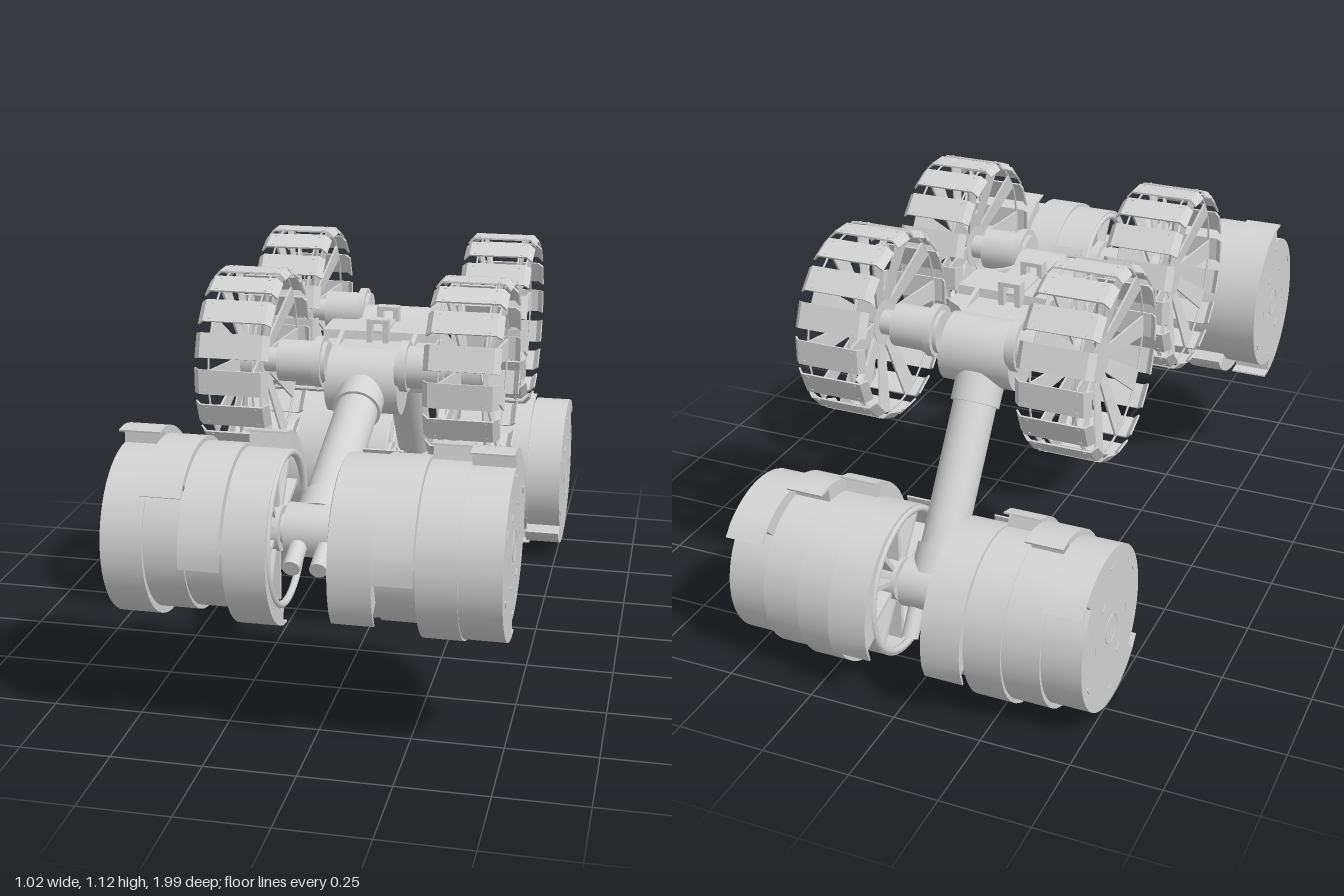
import * as THREE from 'three';
import { toCreasedNormals } from 'three/addons/utils/BufferGeometryUtils.js';

const grey = new THREE.MeshStandardMaterial({ color: 0xd2d2d2 });
grey.name = 'metal grey';

function add(parent, name, geo, x = 0, y = 0, z = 0) {
  const m = new THREE.Mesh(geo, grey);
  m.name = name;
  m.position.set(x, y, z);
  parent.add(m);
  return m;
}
const box = (w, h, d) => new THREE.BoxGeometry(w, h, d);
// cylinder lying along x
const rod = (r, len, n = 32) => new THREE.CylinderGeometry(r, r, len, n).rotateZ(Math.PI / 2);
const toShape = (pts) => new THREE.Shape(pts.map((p) => new THREE.Vector2(p[0], p[1])));
const extrude = (shape, depth) =>
  new THREE.ExtrudeGeometry(shape, { depth, bevelEnabled: false, curveSegments: 24 }).translate(0, 0, -depth / 2);

// round bar between two points of the x = const plane
function bar(parent, name, r, x, y0, z0, y1, z1) {
  const m = add(parent, name, new THREE.CylinderGeometry(r, r, Math.hypot(y1 - y0, z1 - z0), 32), x, (y0 + y1) / 2, (z0 + z1) / 2);
  m.rotation.x = Math.atan2(z1 - z0, y1 - y0);
  return m;
}

// one slice of a digging drum: two spiral scoops, each ending in an overhanging lip
function scoopSlice(phase, dir, width, holeRadius) {
  const pts = [];
  const put = (t, r) => pts.push([-dir * Math.cos(t) * r, Math.sin(t) * r]);
  for (let s = 0; s < 2; s++) {
    const start = phase + s * Math.PI;
    put(start, 0.207);
    put(start, 0.247);
    put(start - 0.16, 0.252);
    put(start - 0.16, 0.257);
    for (let i = 0; i < 30; i++) put(start + (i / 30) * Math.PI, 0.207 + 0.049 * (1 - i / 30) ** 2);
  }
  const shape = toShape(pts);
  if (holeRadius) shape.holes.push(new THREE.Path().absarc(0, 0, holeRadius, 0, Math.PI * 2, true));
  return toCreasedNormals(extrude(shape, width).rotateY(Math.PI / 2), 0.5);
}

// scoop angles from the inner slice to the outer one
const frontLeftPhases = [2.6, 0.05, 1.75, 1.57];
const frontRightPhases = [1.8, 0.05, 0.75, 1.57];
const rearPhases = [2.83, 1.9, 1.48, 0.79];

function drum(side, dir) {
  const g = new THREE.Group();
  g.name = 'diggingDrum';
  const edges = [0.08, 0.19, 0.295, 0.4, 0.51];
  const phases = dir < 0 ? rearPhases : side > 0 ? frontLeftPhases : frontRightPhases;
  phases.forEach((p, i) => {
    const w = edges[i + 1] - edges[i];
    add(g, 'scoopSlice', scoopSlice(p, dir, w, i === 0 ? 0.195 : 0), side * (edges[i] + w / 2));
  });
  // spoked inner face
  add(g, 'innerHub', rod(0.06, 0.1), side * 0.14);
  add(g, 'innerRim', new THREE.TorusGeometry(0.198, 0.01, 8, 40).rotateY(Math.PI / 2), side * 0.082);
  for (let i = 0; i < 10; i++) {
    const a = (i / 10) * Math.PI * 2;
    const rib = add(g, 'innerRib', box(0.07, 0.15, 0.014), side * 0.135, Math.cos(a) * 0.125, Math.sin(a) * 0.125);
    rib.rotation.x = a;
  }
  // end cap details
  add(g, 'capRing', new THREE.TorusGeometry(0.04, 0.002, 6, 24).rotateY(Math.PI / 2), side * 0.51);
  for (let i = 0; i < 12; i++) {
    const a = (i / 12) * Math.PI * 2;
    const r = i % 2 ? 0.11 : 0.185;
    const tab = add(g, 'capTab', box(0.004, 0.005, 0.024), side * 0.51, Math.cos(a) * r, Math.sin(a) * r);
    tab.rotation.x = a;
  }
  return g;
}

// wheel with 16 bent treads and two dished sets of ten spokes
const treadGeo = extrude(toShape([[-0.105, 0.243], [-0.088, 0.261], [0.088, 0.261], [0.105, 0.243],
  [0.102, 0.239], [0.086, 0.256], [-0.086, 0.256], [-0.102, 0.239]]), 0.07);
const spokeGeo = extrude(toShape([[-0.018, 0], [0.018, 0], [0.03, 0.205], [-0.03, 0.205]]), 0.006).rotateY(Math.PI / 2);
function wheel() {
  const g = new THREE.Group();
  g.name = 'wheel';
  for (let i = 0; i < 16; i++) {
    const a = (i / 16) * Math.PI * 2;
    add(g, 'tread', treadGeo).rotation.x = a;
    for (const x of [-0.07, 0.07]) for (const t of [-0.025, 0.025]) {
      const bolt = new THREE.CylinderGeometry(0.004, 0.004, 0.004, 6).translate(x, 0.261, t);
      add(g, 'treadBolt', bolt).rotation.x = a;
    }
  }
  for (const s of [-1, 1]) {
    add(g, 'rimRing', new THREE.TorusGeometry(0.252, 0.003, 6, 48).rotateY(Math.PI / 2), s * 0.062);
    for (let i = 0; i < 10; i++) {
      const a = (i / 10) * Math.PI * 2 + Math.PI / 2;
      const spoke = add(g, 'spoke', spokeGeo.clone().rotateZ(-s * 0.17).translate(s * 0.028, 0.046, 0));
      spoke.rotation.x = a;
    }
  }
  add(g, 'wheelHub', rod(0.062, 0.07, 20));
  return g;
}

// one end of the vehicle: shoulder, two wheels, arm and a pair of drums
function vehicleEnd(dir, axleZ, hubZ, drumY, drumZ) {
  const g = new THREE.Group();
  g.name = dir > 0 ? 'frontEnd' : 'rearEnd';
  const hubY = 0.81;
  add(g, 'shoulder', rod(0.095, 0.21, 40), 0, hubY, hubZ);
  for (const s of [-1, 1]) {
    add(g, 'axleFlange', rod(0.073, 0.022), s * 0.123, 0.872, axleZ);
    add(g, 'axle', rod(0.06, 0.14), s * 0.17, 0.87, axleZ);
    add(g, 'axleTip', rod(0.035, 0.08, 20), s * 0.27, 0.87, axleZ);
    const w = wheel();
    w.position.set(s * 0.318, 0.87, axleZ);
    g.add(w);
    const d = drum(s, dir);
    d.position.set(0, drumY, drumZ);
    g.add(d);
  }
  // arm with collars, drum joint and twin motor ends
  const len = Math.hypot(drumY - hubY, drumZ - hubZ);
  const at = (d) => [hubY + ((drumY - hubY) * d) / len, hubZ + ((drumZ - hubZ) * d) / len];
  bar(g, 'arm', 0.06, 0, ...at(0), ...at(len));
  bar(g, 'upperCollar', 0.068, 0, ...at(0.07), ...at(0.15));
  bar(g, 'lowerCollar', 0.068, 0, ...at(len - 0.11), ...at(len - 0.03));
  add(g, 'drumJoint', rod(0.07, 0.15), 0, drumY, drumZ);
  add(g, 'drumShaft', rod(0.04, 0.26, 24), 0, drumY, drumZ);
  for (const s of [-1, 1]) bar(g, 'motorEnd', 0.023, s * 0.035, ...at(len), ...at(len + 0.15));
  return g;
}

export function createModel() {
  const model = new THREE.Group();
  model.name = 'excavatorRover';
  model.add(vehicleEnd(1, 0.173, 0.12, 0.585, 0.745));
  model.add(vehicleEnd(-1, -0.428, -0.375, 0.267, -0.742));

  // chassis
  const body = new THREE.Group();
  body.name = 'chassis';
  model.add(body);
  const hull = [[-0.06, 0.905], [-0.19, 0.905], [-0.205, 0.81], [-0.165, 0.715], [-0.085, 0.715], [-0.045, 0.81]];
  add(body, 'hull', extrude(toShape(hull.map(([z, y]) => [-z, y])), 0.34).rotateY(Math.PI / 2));
  // deck with concave necks reaching both shoulders
  const half = [[0.105, 0.2], [0.112, 0.175], [0.13, 0.15], [0.175, 0.122], [0.175, -0.122], [0.13, -0.15], [0.112, -0.175], [0.105, -0.2]];
  const outline = [...half, ...half.map(([x, z]) => [-x, z]).reverse()];
  add(body, 'deck', extrude(toShape(outline), 0.035).rotateX(Math.PI / 2), 0, 0.862, -0.125);
  // tapering side braces toward the axles
  const brace = toShape([[-0.22, 0.862], [-0.07, 0.905], [0.07, 0.905], [0.22, 0.862], [0.07, 0.82], [-0.07, 0.82]]);
  for (const s of [-1, 1]) add(body, 'sideBrace', extrude(brace, 0.012).rotateY(Math.PI / 2), s * 0.11, 0, -0.125);
  // lifting handle on the deck
  for (const z of [-0.205, -0.045]) {
    add(body, 'handleTop', box(0.065, 0.012, 0.035), 0, 0.943, z);
    for (const s of [-1, 1]) add(body, 'handlePost', box(0.016, 0.065, 0.035), s * 0.0245, 0.91, z);
  }
  add(body, 'handleBase', box(0.05, 0.008, 0.16), 0, 0.907, -0.125);
  return model;
}
